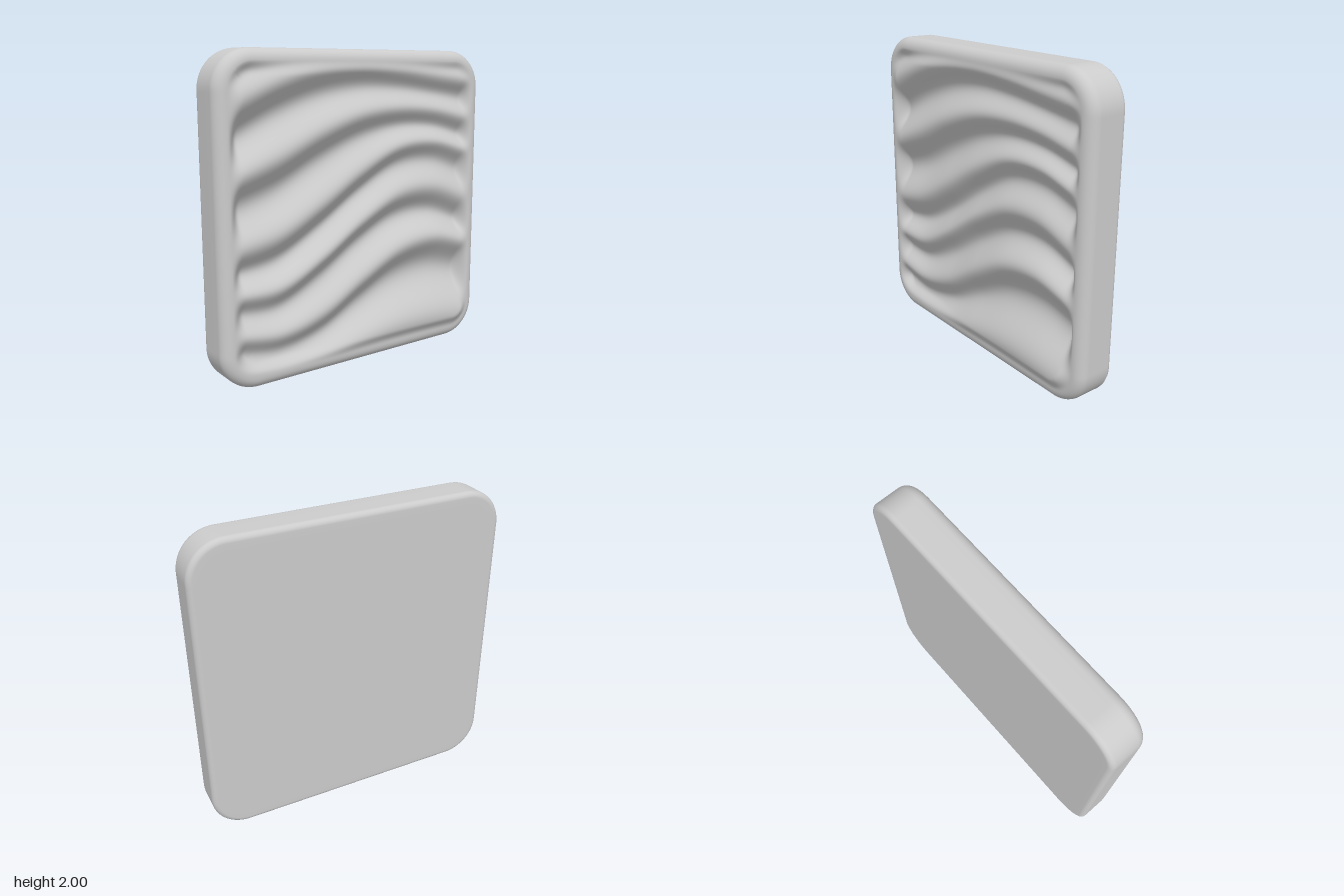
import * as THREE from 'three';

const CORE = 0.76;              // centre of the corner arcs
const FRONT = 0.115, BACK = -0.145;
const R_FRONT = 0.07, R_BACK = 0.035;
const N = 180;                  // grid cells along one side of the face

// Height of each wave's steep flank (bottom to top) at the x positions below
const KNOTS_X = [-0.9, -0.6, -0.3, 0, 0.3, 0.6, 0.9];
const WAVES = [
  [0.02, -0.02, 0.00, 0.04, 0.05, 0.04, 0.02],
  [0.28, 0.245, 0.315, 0.475, 0.615, 0.655, 0.59],
  [0.52, 0.525, 0.67, 0.86, 1.00, 1.015, 0.91],
  [0.77, 0.83, 0.99, 1.18, 1.325, 1.345, 1.26],
  [1.17, 1.275, 1.42, 1.53, 1.575, 1.56, 1.49],
  [1.58, 1.72, 1.81, 1.84, 1.82, 1.78, 1.74],
  [2.06, 2.10, 2.14, 2.14, 2.08, 2.03, 2.00],
];

// Smooth curve through unevenly spaced knots
function hermite(xs, ys, x) {
  const last = xs.length - 1;
  x = Math.min(Math.max(x, xs[0]), xs[last]);
  let i = 0;
  while (i < last - 1 && x > xs[i + 1]) i++;
  const slope = (k) => {
    const a = Math.max(k - 1, 0), b = Math.min(k + 1, last);
    return (ys[b] - ys[a]) / (xs[b] - xs[a]);
  };
  const h = xs[i + 1] - xs[i], t = (x - xs[i]) / h, t2 = t * t, t3 = t2 * t;
  return (2 * t3 - 3 * t2 + 1) * ys[i] + (t3 - 2 * t2 + t) * h * slope(i)
    + (3 * t2 - 2 * t3) * ys[i + 1] + (t3 - t2) * h * slope(i + 1);
}

// Rippled relief: sine whose phase grows by one from wave to wave
function relief(x, y, inset) {
  const mask = THREE.MathUtils.smoothstep(inset, 0.07, 0.16);
  if (mask === 0) return FRONT;
  const ys = WAVES.map((w) => hermite(KNOTS_X, w, x));
  const index = ys.map((_, k) => k);
  const spacing = index.map((k) => {
    const a = Math.max(k - 1, 0), b = Math.min(k + 1, ys.length - 1);
    return (ys[b] - ys[a]) / (b - a);
  });
  const phase = hermite(ys, index, y) * Math.PI * 2;
  const amplitude = 0.117 * hermite(ys, spacing, y);
  const middle = 0.075 + 0.022 * (y - 1) ** 2;
  return THREE.MathUtils.lerp(FRONT, middle + amplitude * Math.sin(phase), mask);
}

// Turns a point of a square into one of a square with round corners
function roundCorner(x, y) {
  const a = Math.abs(x) - CORE, b = Math.abs(y) - CORE;
  if (a <= 0 || b <= 0) return [x, y];
  const s = Math.max(a, b) / Math.hypot(a, b);
  return [Math.sign(x) * (CORE + a * s), Math.sign(y) * (CORE + b * s)];
}

function buildPanel() {
  const positions = [], indices = [];
  const half = 1 - R_FRONT, row = N + 1;

  // Front face grid
  for (let j = 0; j <= N; j++) {
    for (let i = 0; i <= N; i++) {
      const u = half * (2 * i / N - 1), v = half * (2 * j / N - 1);
      const [x, y] = roundCorner(u, v);
      const inset = 1 - Math.max(Math.abs(u), Math.abs(v));
      positions.push(x, y + 1, relief(x, y + 1, inset));
      if (i < N && j < N) {
        const a = j * row + i, b = a + 1, c = a + row, d = c + 1;
        indices.push(a, b, d, a, d, c);
      }
    }
  }

  // Perimeter of the grid, counter-clockwise
  const rim = [];
  for (let k = 0; k < N; k++) rim.push([k, 0]);
  for (let k = 0; k < N; k++) rim.push([N, k]);
  for (let k = N; k > 0; k--) rim.push([k, N]);
  for (let k = N; k > 0; k--) rim.push([0, k]);

  // Edge profile: [half size, z] over front rounding, side and back rounding
  const profile = [];
  for (let k = 1; k <= 7; k++) {
    const t = k / 7 * Math.PI / 2;
    profile.push([half + R_FRONT * Math.sin(t), FRONT - R_FRONT * (1 - Math.cos(t))]);
  }
  for (let k = 0; k <= 5; k++) {
    const t = k / 5 * Math.PI / 2;
    profile.push([1 - R_BACK * (1 - Math.cos(t)), BACK + R_BACK * (1 - Math.sin(t))]);
  }
  profile.push([0.92, BACK]);

  let previous = rim.map(([i, j]) => j * row + i);
  for (const [size, z] of profile) {
    const ring = rim.map(([i, j]) => {
      // keep the straight part fixed and stretch only the border
      const stretch = (g) => {
        const p = half * (2 * g / N - 1), a = Math.abs(p) - CORE;
        return a <= 0 ? p : Math.sign(p) * (CORE + a * (size - CORE) / (half - CORE));
      };
      const [x, y] = roundCorner(stretch(i), stretch(j));
      return positions.push(x, y + 1, z) / 3 - 1;
    });
    ring.forEach((a, k) => {
      const n = (k + 1) % ring.length;
      indices.push(previous[k], a, ring[n], previous[k], ring[n], previous[n]);
    });
    previous = ring;
  }

  // Flat back
  const centre = positions.push(0, 1, BACK) / 3 - 1;
  previous.forEach((a, k) => indices.push(a, centre, previous[(k + 1) % previous.length]));

  const geometry = new THREE.BufferGeometry();
  geometry.setAttribute('position', new THREE.Float32BufferAttribute(positions, 3));
  geometry.setIndex(indices);
  geometry.computeVertexNormals();
  return geometry;
}

export function createModel() {
  const group = new THREE.Group();
  group.name = 'wavePanel';
  const material = new THREE.MeshStandardMaterial({ color: 0xcccccc });
  const panel = new THREE.Mesh(buildPanel(), material);
  panel.name = 'rippledPanel';
  group.add(panel);
  return group;
}
